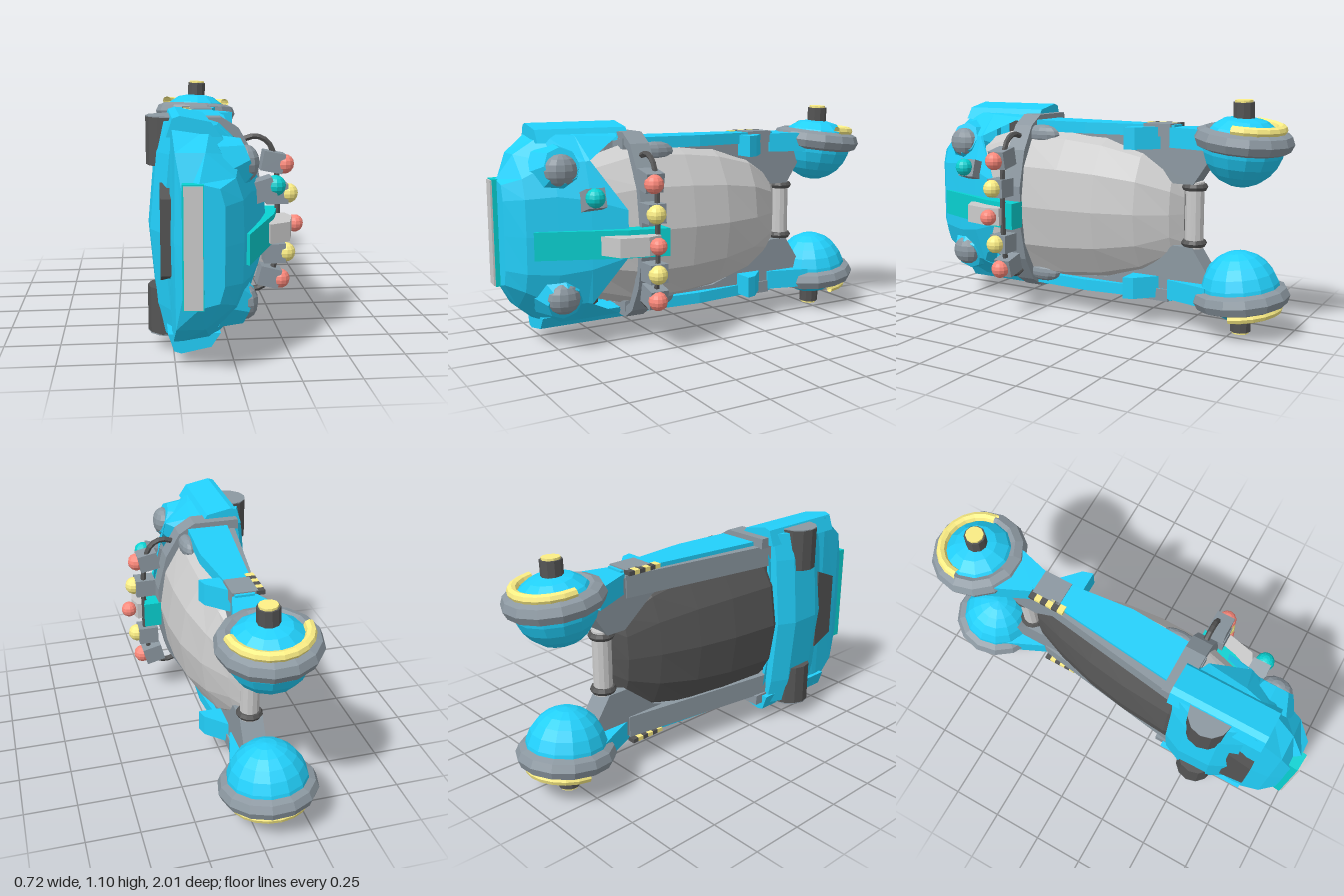
import * as THREE from 'three';

const mat = (color, side = THREE.FrontSide) => new THREE.MeshStandardMaterial({ color, side, flatShading: true });
const V = (x, y, z) => new THREE.Vector3(x, y, z);

export function createModel() {
  const blue = mat(0x22d0fb), teal = mat(0x08d2d2), grey = mat(0x8c98a1), light = mat(0xc6c4c3);
  const dark = mat(0x555555), yellow = mat(0xfcee85), red = mat(0xff8a7c);
  const blueThin = mat(0x22d0fb, THREE.DoubleSide), yellowThin = mat(0xfcee85, THREE.DoubleSide);
  const lightThin = mat(0xc6c4c3, THREE.DoubleSide), darkThin = mat(0x555555, THREE.DoubleSide);
  const model = new THREE.Group();
  model.name = 'hoverCraft';
  const body = new THREE.Group(); // mirror plane of the craft is y = 0 in here
  body.name = 'body';
  body.position.y = 0.55;
  model.add(body);

  const add = (parent, name, geo, material, pos = [0, 0, 0], rot = [0, 0, 0], scale = [1, 1, 1]) => {
    const m = new THREE.Mesh(geo, material);
    m.name = name;
    m.position.set(...pos);
    m.rotation.set(...rot);
    m.scale.set(...scale);
    parent.add(m);
  };
  const box = (x, y, z) => new THREE.BoxGeometry(x, y, z);
  const ball = (r) => new THREE.SphereGeometry(r, 12, 8);
  const shape = (pts) => new THREE.Shape(pts.map((p) => new THREE.Vector2(...p)));
  const extrude = (pts, depth) => new THREE.ExtrudeGeometry(shape(pts), { depth, bevelEnabled: false });
  // Outline in (z, x), extruded across the width from y0 to y1
  const prism = (pts, y0, y1) => extrude(pts, y1 - y0)
    .applyMatrix4(new THREE.Matrix4().makeBasis(V(0, 0, 1), V(1, 0, 0), V(0, 1, 0)))
    .translate(0, y0, 0);
  // Outline in (y, z), extruded through the height from x0 to x1
  const slab = (pts, x0, x1) => extrude(pts, x1 - x0)
    .applyMatrix4(new THREE.Matrix4().makeBasis(V(0, 1, 0), V(0, 0, 1), V(1, 0, 0)))
    .translate(x0, 0, 0);
  // Skin over rings of [x, y, z], ordered front to rear; rings may be open, ends may be capped
  const loft = (rings, { wrap = true, front = true, rear = true }) => {
    const n = rings[0].length, index = [];
    for (let i = 0; i < rings.length - 1; i++) {
      for (let j = 0; j < (wrap ? n : n - 1); j++) {
        const a = i * n + j, b = i * n + ((j + 1) % n);
        index.push(a, a + n, b, b, a + n, b + n);
      }
    }
    const last = (rings.length - 1) * n;
    for (let j = 1; j < n - 1; j++) {
      if (front) index.push(0, j, j + 1);
      if (rear) index.push(last, last + j + 1, last + j);
    }
    const g = new THREE.BufferGeometry();
    g.setAttribute('position', new THREE.Float32BufferAttribute(rings.flat(2), 3));
    g.setIndex(index);
    g.computeVertexNormals();
    return g;
  };
  // Half ring from the top centre to the bottom centre, completed by mirroring
  const mirrorRing = (half) => [...half, ...half.slice(1, -1).reverse().map(([x, y, z]) => [x, -y, z])];

  // Domes: half-ellipse sections [z, half width, crown, base] above and below the deck
  const sections = [[0.62, 0.32, 0.085, -0.2], [0.35, 0.4, 0.165, -0.3], [0.1, 0.39, 0.172, -0.28],
    [-0.1, 0.365, 0.155, -0.245], [-0.3, 0.31, 0.1, -0.19], [-0.45, 0.22, 0.015, -0.13], [-0.5, 0.16, -0.05, -0.07]];
  const deck = -0.06;
  const dome = (k) => loft(sections.map(([z, w, ...tops]) => {
    const ring = [];
    for (let i = 0; i <= 6; i++) {
      const a = (i / 6) * Math.PI - Math.PI / 2 + k * Math.PI;
      ring.push([deck + Math.abs(tops[k] - deck) * Math.cos(a), w * Math.sin(a), z]);
    }
    return ring;
  }), { wrap: false, front: false });
  add(body, 'canopyDome', dome(0), lightThin);
  add(body, 'underDome', dome(1), darkThin);

  // Nose shell: z, then half ring of [x, y]
  const nose = [
    [0.97, [-0.06, 0], [-0.06, 0.16], [-0.08, 0.23], [-0.16, 0.25], [-0.22, 0.17], [-0.22, 0]],
    [0.895, [0.025, 0], [0.02, 0.17], [-0.01, 0.26], [-0.13, 0.36], [-0.25, 0.36], [-0.255, 0]],
    [0.76, [0.075, 0], [0.07, 0.18], [0.02, 0.33], [-0.1, 0.45], [-0.26, 0.475], [-0.27, 0]],
    [0.62, [0.125, 0], [0.12, 0.16], [0.06, 0.33], [-0.06, 0.44], [-0.24, 0.485], [-0.27, 0]],
  ].map(([z, ...half]) => mirrorRing(half.map(([x, y]) => [x, y, z])));
  nose.push(mirrorRing([[0.172, 0, 0.46], [0.168, 0.11, 0.46], [0.068, 0.335, 0.6],
    [-0.035, 0.43, 0.42], [-0.23, 0.485, 0.34], [-0.27, 0, 0.38]]));
  add(body, 'noseShell', loft(nose, { rear: false }), blueThin);

  // Lower lip with a dark intake in front of it
  const lip = [[0.72, -0.295], [0.62, -0.345], [0.46, -0.35], [0.37, -0.31]].map(([z, x]) => {
    const half = [[-0.22, 0.46, z], [x + 0.055, 0.46, z], [x + 0.03, 0.33, z], [x, 0, z]];
    return [...half, ...half.slice(0, -1).reverse().map(([a, b, c]) => [a, -b, c])];
  });
  add(body, 'lowerLip', loft(lip, { wrap: false }), blueThin);
  add(body, 'intake', slab([[-0.21, 0.68], [0.21, 0.68], [0.16, 0.8], [-0.16, 0.8]], -0.305, -0.24), dark);

  // Bumper on the nose tip
  add(body, 'bumper', box(0.085, 0.5, 0.085), teal, [-0.183, 0, 0.945], [0, -0.08, 0]);
  add(body, 'bumperFace', box(0.075, 0.49, 0.012), light, [-0.185, 0, 0.99], [0, -0.08, 0]);

  // Roof hoop around the dome
  const hoop = [[-0.25, 0.45], [-0.02, 0.45], [0.06, 0.4], [0.13, 0.28], [0.175, 0.1]];
  const inner = hoop.map(([x, y], i) => [x - 0.012 * i, y - 0.05 + 0.008 * i]).reverse();
  const flip = (pts) => pts.map(([x, y]) => [x, -y]).reverse();
  add(body, 'roofHoop', extrude([...hoop, ...flip(hoop), ...flip(inner), ...inner], 0.1), grey, [0, 0, 0.295]);

  // Light bar, lamps as [x, y, z, tilt, material]
  const bar = [[0.07, 0.34], [0.14, 0.36], [0.2, 0.33], [0.235, 0.23], [0.245, 0]];
  const barPath = [...bar, ...flip(bar.slice(0, -1))].map(([x, y]) => V(x, y, 0.35));
  add(body, 'lightBar', new THREE.TubeGeometry(new THREE.CatmullRomCurve3(barPath), 32, 0.014, 6), dark);
  [[0.27, 0.235, 0.38, -0.2, red], [0.29, 0.1, 0.38, 0, yellow], [0.285, -0.18, 0.37, 0, yellow],
    [0.262, -0.31, 0.36, -0.25, red], [0.19, 0.18, 0.63, 0.3, teal]].forEach(([x, y, z, tilt, m]) => {
    add(body, 'lampHousing', box(0.1, 0.09, 0.09), grey, [x - 0.055, y - 0.055 * Math.sin(tilt), z - 0.01], [0, 0, tilt]);
    add(body, 'lamp', ball(0.045), m, [x, y, z]);
  });

  // Centre fin with its lamp
  add(body, 'centreFin', prism([[0.87, 0.05], [0.82, 0.02], [0.5, 0.13], [0.29, 0.165], [0.29, 0.255], [0.48, 0.21]], -0.105, 0.025), teal);
  add(body, 'finHousing', prism([[0.6, 0.175], [0.5, 0.17], [0.35, 0.18], [0.35, 0.28], [0.42, 0.3], [0.55, 0.27]], -0.085, 0.002), light);
  add(body, 'finLamp', ball(0.04), red, [0.32, -0.04, 0.385]);

  // Rear axle and collars
  add(body, 'rearAxle', new THREE.CylinderGeometry(0.045, 0.045, 0.32, 12), light, [-0.06, 0, -0.55]);
  for (const y of [-0.135, 0.135]) {
    add(body, 'axleCollar', new THREE.TorusGeometry(0.045, 0.018, 6, 12), dark, [-0.06, y, -0.55], [Math.PI / 2, 0, 0]);
  }

  // Parts repeated on both sides
  for (const s of [1, -1]) {
    const side = new THREE.Group();
    side.name = s > 0 ? 'upperSide' : 'lowerSide';
    side.scale.y = s;
    body.add(side);

    // Deck frame and rails
    add(side, 'deckFrame', slab([[0.37, 0.4], [0.42, 0.4], [0.41, -0.3], [0.38, -0.62], [0.27, -0.64], [0.15, -0.56],
      [0.15, -0.46], [0.28, -0.3], [0.35, -0.1]].reverse(), -0.12, -0.01), grey);
    add(side, 'sideRail', prism([[0.36, 0.01], [0.36, -0.2], [-0.28, -0.13], [-0.46, -0.1], [-0.46, -0.01], [-0.28, 0.0], [0, 0.03]], 0.37, 0.425), blue);
    add(side, 'lowerPanel', prism([[0.42, -0.18], [0.42, -0.25], [0, -0.19], [-0.45, -0.125], [-0.45, -0.08]], 0.3, 0.405), grey);
    add(side, 'railWedge', prism([[-0.44, 0], [-0.44, -0.11], [-0.66, -0.21], [-0.66, 0.06]], 0.32, 0.415), blue);
    add(side, 'railFlap', prism([[-0.39, -0.01], [-0.25, -0.01], [-0.25, 0.1], [-0.3, 0.085]], 0.31, 0.415), blue);
    add(side, 'railClamp', box(0.12, 0.06, 0.14), grey, [-0.06, 0.4, -0.375]);
    for (let i = 0; i < 6; i++) {
      add(side, 'hazardStripe', box(0.04, 0.02, 0.03), i % 2 ? dark : yellow, [-0.13, 0.42, -0.285 - 0.03 * i]);
    }
    add(side, 'sideBlister', ball(1), grey, [0.03, 0.355, 0.25], [0, 0, 0], [0.04, 0.05, 0.1]);

    // Nose headlight in a flared cup, shoulder plate, and the drum beneath
    add(side, 'headlightCup', new THREE.CylinderGeometry(0.085, 0.14, 0.1, 8), blue, [0.01, 0.3, 0.73], [0, 0, -1.2]);
    add(side, 'headlight', ball(1), grey, [0.05, 0.295, 0.735], [0, 0, 0], [0.055, 0.075, 0.08]);
    add(side, 'shoulderPlate', extrude([[-0.28, 0.41], [-0.06, 0.41], [-0.1, 0.47], [-0.225, 0.495], [-0.255, 0.485]], 0.46), blue, [0, 0, 0.34]);
    add(side, 'drum', new THREE.CylinderGeometry(0.1, 0.1, 0.205, 12), dark, [-0.258, 0.37, 0.54]);
    add(side, 'drumCap', new THREE.CylinderGeometry(0.1, 0.1, 0.006, 12), grey, [-0.258, 0.474, 0.54]);

    // Rear hover pod; the axis through both pods leans slightly
    const pod = new THREE.Group();
    pod.name = 'hoverPod';
    pod.position.set(-0.067 + 0.012 * s, 0.37, -0.785);
    pod.rotation.z = -0.05 * s;
    side.add(pod);
    const shell = new THREE.Group();
    shell.name = 'podShell';
    shell.rotation.x = -0.1;
    pod.add(shell);
    add(shell, 'podRing', new THREE.TorusGeometry(0.18, 0.05, 8, 14), grey, [0, 0, 0], [Math.PI / 2, 0, 0]);
    add(shell, 'podBowl', new THREE.SphereGeometry(0.19, 14, 6, 0, Math.PI * 2, Math.PI / 2, Math.PI / 2), blue, [0, -0.01, 0], [0, 0, 0], [1, 1.1, 1]);
    const cover = [[0.18, 0.01], [0.15, 0.055], [0.1, 0.09], [0, 0.11]].map((p) => new THREE.Vector2(...p));
    add(shell, 'podCover', new THREE.LatheGeometry(cover, 12), blueThin);
    add(shell, 'podTrim', new THREE.TorusGeometry(0.168, 0.024, 8, 10, Math.PI), yellowThin, [0, 0.06, 0], [-Math.PI / 2, 0, 0]);
    add(pod, 'podCap', new THREE.CylinderGeometry(0.05, 0.05, 0.1, 10), dark, [0, 0.12, 0]);
    add(pod, 'podCapTop', new THREE.CylinderGeometry(0.042, 0.042, 0.02, 10), yellow, [0, 0.17, 0]);
  }
  return model;
}
